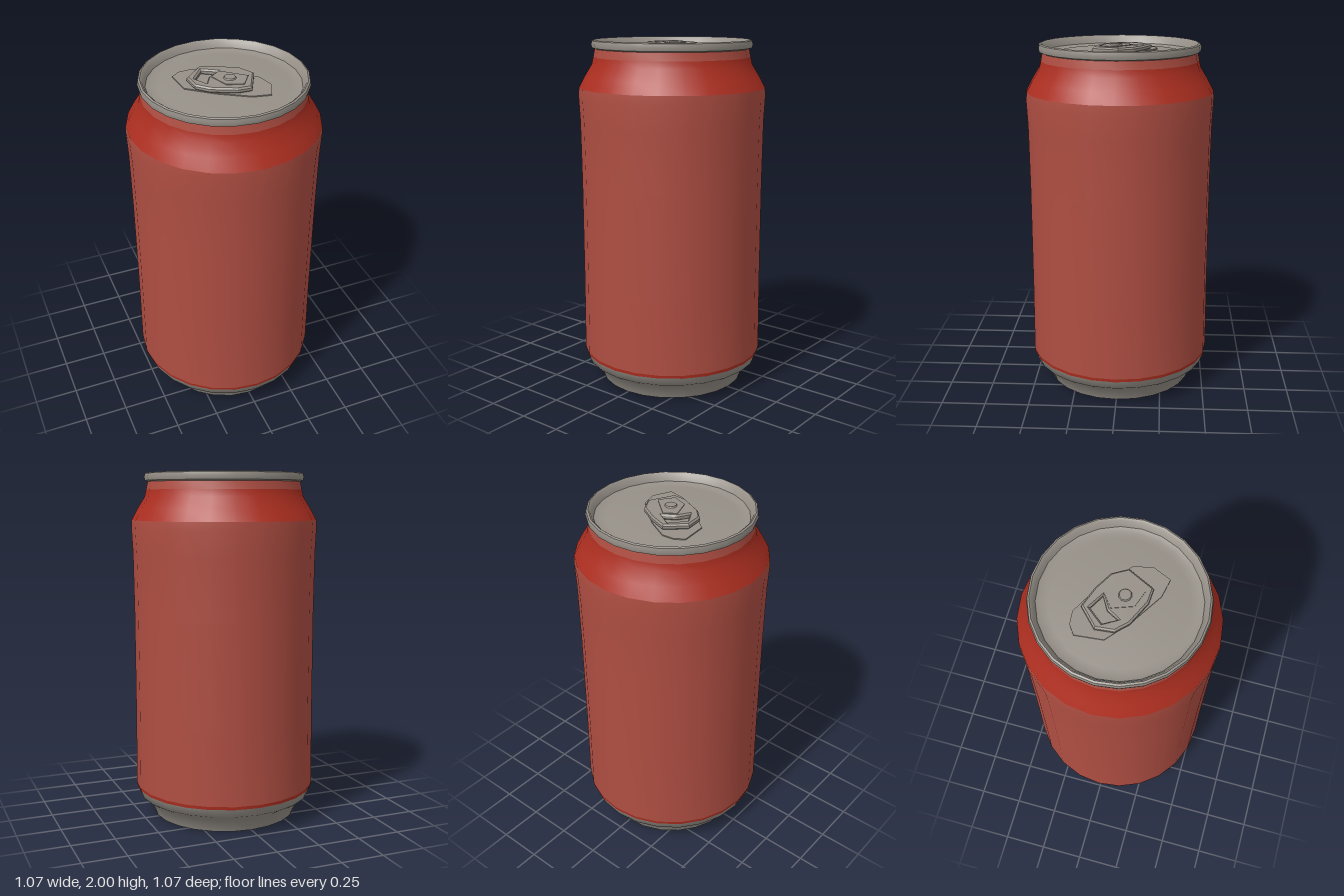
import * as THREE from 'three';
import { toCreasedNormals } from 'three/addons/utils/BufferGeometryUtils.js';

const mat = (name, color) => {
  const m = new THREE.MeshStandardMaterial({ color });
  m.name = name;
  return m;
};

export function createModel() {
  const can = new THREE.Group();
  can.name = 'drinkCan';
  const paint = mat('faded red paint', 0xaf4e42);
  const bright = mat('bright red paint', 0xab2e20);
  const metal = mat('bare metal', 0x969088);

  const add = (name, geometry, material) => {
    const mesh = new THREE.Mesh(geometry, material);
    mesh.name = name;
    can.add(mesh);
    return mesh;
  };
  // Turned section, profile listed as [radius, height]
  const turn = (name, profile, material) => add(name, toCreasedNormals(
    new THREE.LatheGeometry(profile.map(([r, y]) => new THREE.Vector2(r, y)), 24), 0.75), material);
  // Flat plate cut from an outline of [x, z] points, top face at height y
  const plate = (name, outline, holes, y, depth, bevel) => {
    const toPoints = (list) => list.map(([x, z]) => new THREE.Vector2(x, z));
    const shape = new THREE.Shape(toPoints(outline));
    holes.forEach((h) => shape.holes.push(new THREE.Path(toPoints(h))));
    const geo = new THREE.ExtrudeGeometry(shape, {
      depth, bevelEnabled: bevel > 0, bevelSize: bevel, bevelThickness: bevel,
      bevelOffset: -bevel, bevelSegments: 1,
    });
    geo.rotateX(Math.PI / 2);
    add(name, geo, metal).position.y = y - bevel;
  };

  // Metal base with a slightly hollow underside
  turn('base', [[0, 0.03], [0.3, 0.025], [0.385, 0.01], [0.4, 0], [0.42, 0.005],
    [0.45, 0.085], [0.505, 0.12], [0.523, 0.168]], metal);

  // Painted side wall
  turn('lowerStripe', [[0.523, 0.168], [0.525, 0.186]], bright);
  turn('body', [[0.525, 0.186], [0.522, 0.6], [0.522, 1.2], [0.526, 1.55], [0.533, 1.69],
    [0.53, 1.735]], paint);
  turn('shoulder', [[0.53, 1.735], [0.495, 1.8], [0.455, 1.865], [0.446, 1.905]], bright);
  turn('neck', [[0.446, 1.905], [0.437, 1.95]], paint);

  // Rolled rim and recessed lid
  turn('rim', [[0.437, 1.95], [0.452, 1.956], [0.457, 1.975], [0.452, 1.995], [0.442, 2],
    [0.432, 1.992], [0.415, 1.955]], metal);
  turn('lid', [[0.415, 1.955], [0.385, 1.945], [0.35, 1.95], [0, 1.95]], metal);

  // Raised drinking panel running diagonally below the tab
  plate('mouthPanel', [[-0.23, -0.17], [-0.18, -0.205], [-0.11, -0.21], [0.02, -0.14], [0.2, 0.01],
    [0.225, 0.11], [0.18, 0.21], [0.08, 0.19], [-0.08, 0.09], [-0.215, -0.02]], [], 1.956, 0.006, 0);

  // Pull tab: bevelled ring with a finger hole, rivet and inner tongue
  plate('pullTab', [[-0.18, -0.08], [-0.08, -0.175], [0.03, -0.135], [0.125, -0.08], [0.172, 0],
    [0.1, 0.145], [0.02, 0.14], [-0.11, 0.08], [-0.17, 0.02]],
  [[[-0.145, -0.05], [-0.08, -0.13], [0, -0.085], [-0.07, -0.045], [-0.105, 0.02]]],
  1.986, 0.014, 0.009);
  plate('tabTongue', [[-0.06, -0.03], [0, -0.075], [0.125, 0.03], [0.07, 0.11], [-0.02, 0.08]],
    [], 1.99, 0.008, 0);
  const rivet = add('rivet', new THREE.CylinderGeometry(0.03, 0.035, 0.008, 10), metal);
  rivet.position.set(0.025, 1.993, 0.02);

  return can;
}
